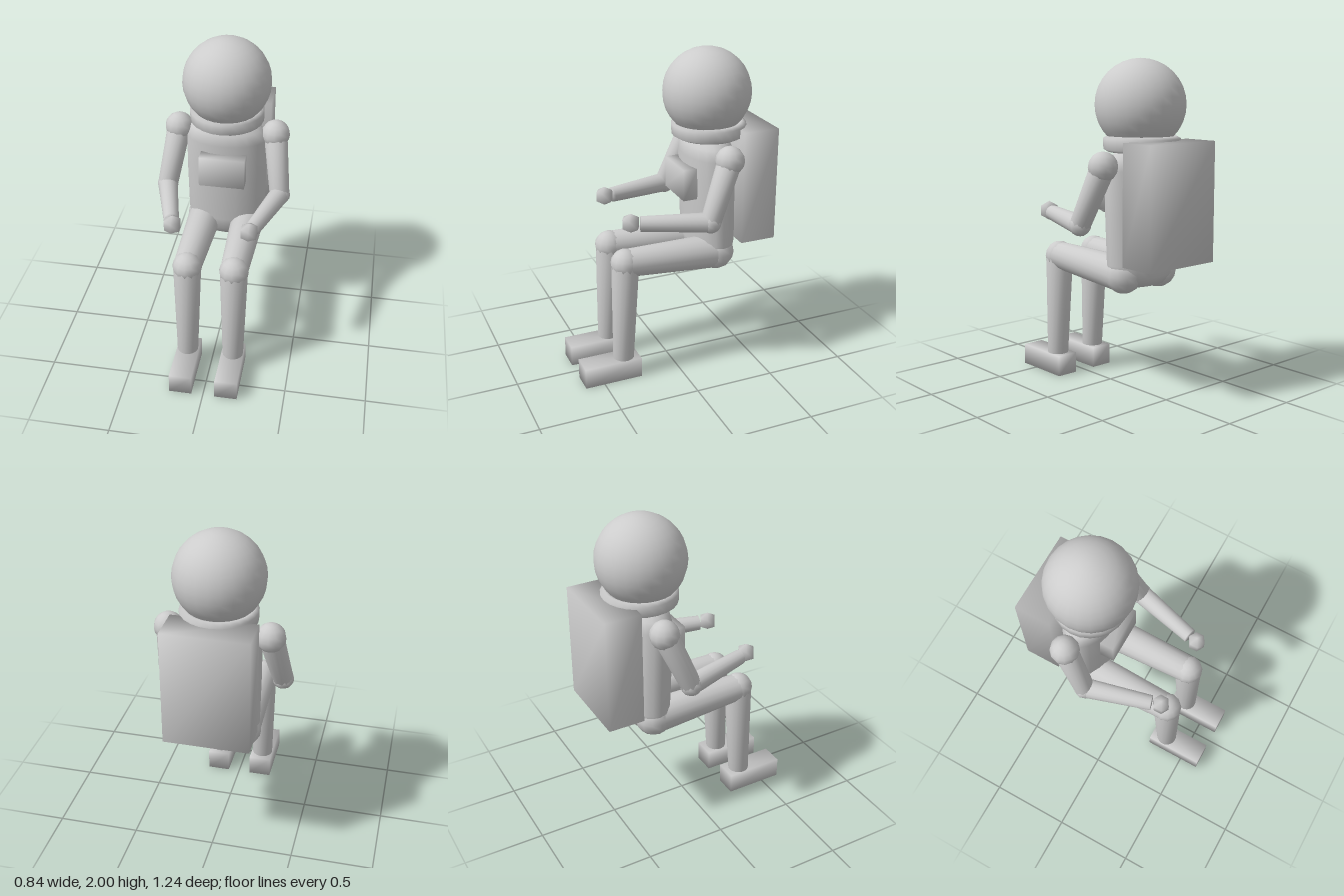
import * as THREE from 'three';
import { mergeVertices } from 'three/addons/utils/BufferGeometryUtils.js';

export function createModel() {
  const model = new THREE.Group();
  model.name = 'seatedAstronaut';
  const suit = new THREE.MeshStandardMaterial({ color: 0xcccccc });
  suit.name = 'suitGrey';

  // Weld corners so the shading runs smoothly over every edge
  function add(name, geometry, x = 0, y = 0, z = 0) {
    geometry.deleteAttribute('uv');
    geometry.deleteAttribute('normal');
    const welded = mergeVertices(geometry, 1e-4);
    welded.computeVertexNormals();
    const mesh = new THREE.Mesh(welded, suit);
    mesh.name = name;
    mesh.position.set(x, y, z);
    model.add(mesh);
    return mesh;
  }

  const box = (name, w, h, d, x, y, z) => add(name, new THREE.BoxGeometry(w, h, d), x, y, z);
  const ball = (name, r, [x, y, z], w = 12, h = 8) =>
    add(name, new THREE.SphereGeometry(r, w, h), x, y, z);

  // Tapered limb running from point a to point b
  function limb(name, a, b, ra, rb) {
    const from = new THREE.Vector3(...a), to = new THREE.Vector3(...b);
    const dir = to.clone().sub(from);
    const mid = from.clone().add(to).multiplyScalar(0.5);
    const mesh = add(name, new THREE.CylinderGeometry(rb, ra, dir.length(), 16), mid.x, mid.y, mid.z);
    mesh.quaternion.setFromUnitVectors(new THREE.Vector3(0, 1, 0), dir.normalize());
  }

  const lathe = (points, sides) =>
    new THREE.LatheGeometry(points.map(([r, y]) => new THREE.Vector2(r, y)), sides);

  // Helmet and collar ring
  ball('helmet', 0.268, [0, 1.733, -0.264], 24, 16);
  add('collarRing', lathe([[0.15, 1.48], [0.2, 1.463], [0.226, 1.478], [0.228, 1.54],
    [0.2, 1.556], [0.15, 1.54], [0.15, 1.48]], 24), 0, 0, -0.278);

  // Torso: flattened, rounded at both ends, leaning slightly forward
  const torso = lathe([[0, 0.67], [0.16, 0.675], [0.222, 0.73], [0.245, 0.81], [0.25, 1.1],
    [0.25, 1.36], [0.222, 1.425], [0.15, 1.47], [0, 1.475]], 20);
  torso.scale(1, 1, 0.6);
  const p = torso.attributes.position;
  for (let i = 0; i < p.count; i++) {
    p.setZ(i, p.getZ(i) - 0.28 + 0.03 * (p.getY(i) - 0.8));
  }
  add('torso', torso);

  // Life support pack and chest control box
  box('backpack', 0.51, 0.71, 0.226, 0, 1.175, -0.508);
  box('chestBox', 0.28, 0.195, 0.09, 0, 1.207, -0.1);

  for (const [side, s] of [['left', 1], ['right', -1]]) {
    // Arm
    const shoulder = [s * 0.3, 1.391, -0.278];
    const elbow = [s * 0.353, 1.045, -0.135];
    const wrist = [s * 0.245, 1.06, 0.264];
    ball(side + 'Shoulder', 0.088, shoulder, 12, 8);
    limb(side + 'UpperArm', shoulder, elbow, 0.073, 0.062);
    ball(side + 'Elbow', 0.066, elbow, 10, 8);
    limb(side + 'Forearm', elbow, wrist, 0.061, 0.046);
    ball(side + 'Hand', 0.06, [s * 0.228, 1.067, 0.319], 6, 3).rotation.y = Math.PI / 2;

    // Leg
    const hip = [s * 0.14, 0.745, -0.275];
    const knee = [s * 0.143, 0.771, 0.326];
    const ankle = [s * 0.145, 0.12, 0.35];
    ball(side + 'Hip', 0.114, hip, 12, 8);
    limb(side + 'Thigh', hip, knee, 0.107, 0.085);
    ball(side + 'Knee', 0.09, knee, 12, 8);
    limb(side + 'Shin', knee, ankle, 0.085, 0.065);
    box(side + 'Boot', 0.14, 0.13, 0.367, s * 0.143, 0.065, 0.438);
  }

  return model;
}
